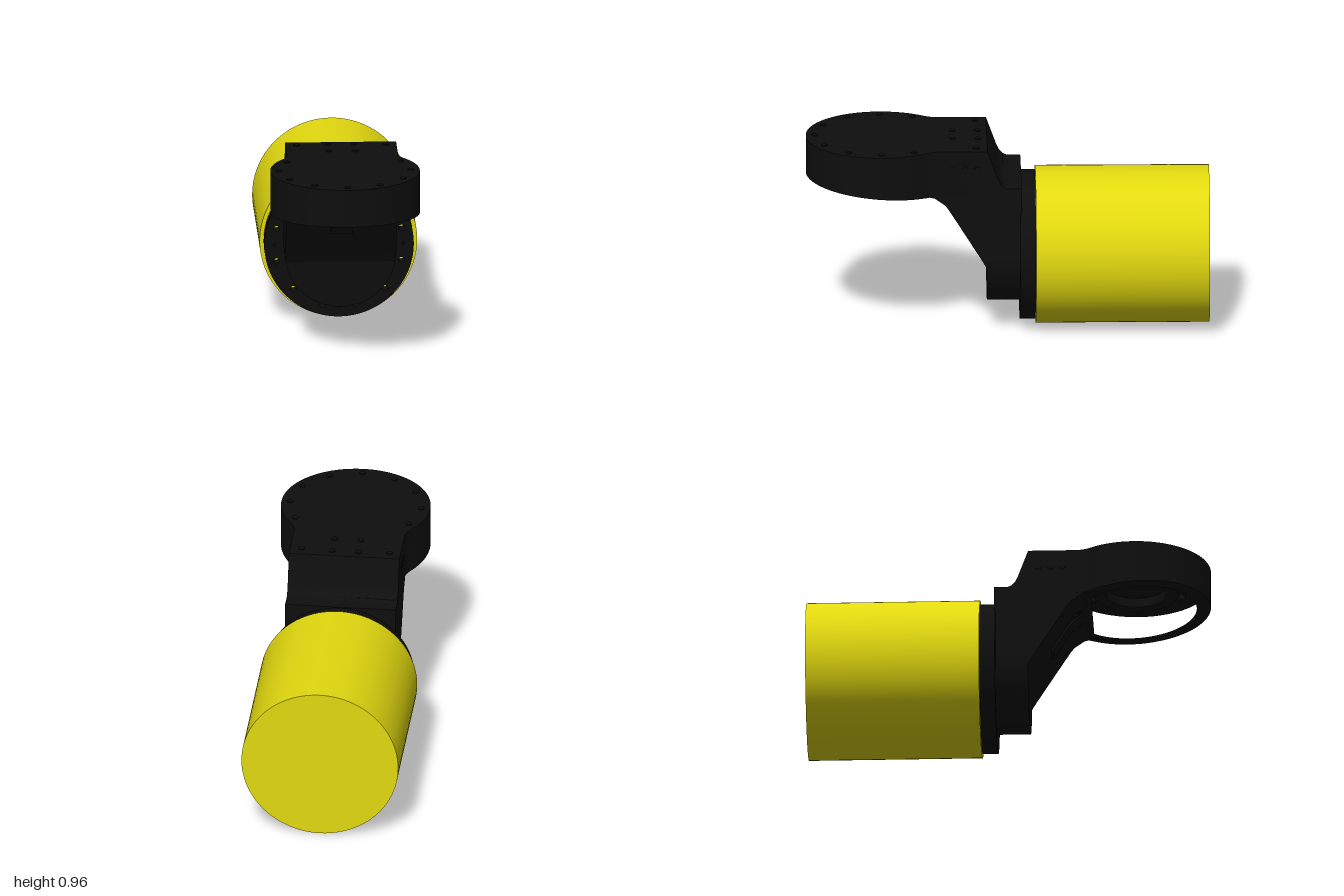
import * as THREE from 'three';
import { toCreasedNormals } from 'three/addons/utils/BufferGeometryUtils.js';

const AXIS_Y = 0.39;   // height of the motor axis
const HEAD_Z = 0.625;  // centre of the round head
const ARM_R = 0.275;   // half width of the arm

export function createModel() {
  const black = new THREE.MeshStandardMaterial({ color: 0x0e0e0e });
  black.name = 'blackCasting';
  const yellow = new THREE.MeshStandardMaterial({ color: 0xe2d90f });
  yellow.name = 'yellowHousing';

  const root = new THREE.Group();
  root.name = 'armLink';
  const add = (name, geo, mat = black, parent = root) => {
    const mesh = new THREE.Mesh(geo, mat);
    mesh.name = name;
    parent.add(mesh);
    return mesh;
  };
  const extrude = (shape, depth) =>
    new THREE.ExtrudeGeometry(shape, { depth, bevelEnabled: false, curveSegments: 48 });
  const circleHole = (x, y, r) => new THREE.Path().absarc(x, y, r, 0, Math.PI * 2, true);
  const move = (geo, rule) => {
    const p = geo.attributes.position;
    const v = new THREE.Vector3();
    for (let i = 0; i < p.count; i++) {
      rule(v.fromBufferAttribute(p, i));
      p.setXYZ(i, v.x, v.y, v.z);
    }
    return toCreasedNormals(geo, 0.5);
  };

  // Yellow motor housing
  const housing = new THREE.CylinderGeometry(0.39, 0.39, 0.86, 96);
  housing.rotateX(Math.PI / 2).translate(0, AXIS_Y, -0.57);
  add('motorHousing', housing, yellow);

  // Bolt holes on the flange circle: twelve large, four small
  const holes = [];
  for (let i = 0; i < 12; i++) {
    const a = (i + 0.5) * Math.PI / 6;
    holes.push([0.32 * Math.cos(a), AXIS_Y + 0.32 * Math.sin(a), 0.015]);
  }
  for (let i = 0; i < 4; i++) {
    const a = i * Math.PI / 2;
    holes.push([0.32 * Math.cos(a), AXIS_Y + 0.32 * Math.sin(a), 0.008]);
  }

  // Flange
  const disc = new THREE.Shape().absarc(0, AXIS_Y, 0.37, 0, Math.PI * 2);
  for (const h of holes) disc.holes.push(circleHole(...h));
  add('flange', toCreasedNormals(extrude(disc, 0.077).translate(0, 0, -0.139), 0.5));

  // Rounded lower end of the arm
  const a0 = Math.asin((0.345 - AXIS_Y) / ARM_R);
  const boss = new THREE.Shape().absarc(0, AXIS_Y, ARM_R, Math.PI - a0, Math.PI * 2 + a0);
  add('armBase', toCreasedNormals(extrude(boss, 0.17).translate(0, 0, -0.07), 0.5));

  // Arm rising in bands: [y, front z, back z]
  const arm = new THREE.Group();
  arm.name = 'arm';
  root.add(arm);
  const halfWidth = y => Math.sqrt(ARM_R ** 2 - Math.max(0, AXIS_Y - y) ** 2);
  const band = (name, lo, hi, w0, w1, lift = 0) => {
    const shape = new THREE.Shape([
      new THREE.Vector2(-w0, lo[0]), new THREE.Vector2(w0, lo[0]),
      new THREE.Vector2(w1, hi[0]), new THREE.Vector2(-w1, hi[0]),
    ]);
    for (const [x, y, r] of holes) {
      if (r > 0.01 && Math.abs(x) < w0 - r && y - r > lo[0] && y + r < hi[0]) {
        shape.holes.push(circleHole(x, y, r));
      }
    }
    const geo = move(extrude(shape, 1), v => {
      const t = (v.y - lo[0]) / (hi[0] - lo[0]);
      const k = v.z > 0.5 ? 1 : 2;
      v.z = lo[k] + (hi[k] - lo[k]) * t + (k === 1 ? lift : 0);
    });
    add(name, geo, black, arm);
  };
  const lower = [
    [0.345, 0.10, -0.07], [0.385, 0.122, -0.07], [0.58, 0.243, -0.07], [0.66, 0.293, -0.07],
    [0.683, 0.312, -0.07], [0.717, 0.36, -0.07], [0.73, 0.41, -0.07], [0.765, 0.32, -0.07],
  ];
  const upper = [
    [0.765, 0.3, 0.0], [0.773, 0.3, 0.018], [0.79, 0.3, 0.034], [0.815, 0.3, 0.047],
    [0.96, 0.11, 0.1],
  ];
  for (const rows of [lower, upper]) {
    for (let i = 1; i < rows.length; i++) {
      const [lo, hi] = [rows[i - 1], rows[i]];
      band('armBand', lo, hi, halfWidth(lo[0]), halfWidth(hi[0]));
    }
  }
  // Raised rib on the sloping front
  band('frontRib', [0.52, 0.206, 0.1], [0.66, 0.293, 0.1], 0.055, 0.05, 0.012);
  band('frontRib', [0.66, 0.293, 0.1], [0.73, 0.37, 0.1], 0.05, 0.05, 0.012);

  // Head outline in plan: straight neck flaring into a disc
  const headOutline = () => {
    const s = new THREE.Shape();
    s.moveTo(-ARM_R, 0.1);
    s.lineTo(-ARM_R, 0.33);
    s.quadraticCurveTo(-ARM_R, 0.37, -0.30, 0.408);
    s.absarc(0, HEAD_Z, 0.37, 3.768, -0.626, true);
    s.quadraticCurveTo(ARM_R, 0.37, ARM_R, 0.33);
    s.lineTo(ARM_R, 0.1);
    s.closePath();
    return s;
  };
  const head = new THREE.Group();
  head.name = 'head';
  root.add(head);
  const lid = extrude(headOutline(), 0.07).rotateX(Math.PI / 2).translate(0, 0.96, 0);
  add('headTop', toCreasedNormals(lid, 0.5), black, head);

  // Head wall around an open recess, with a tilted lower rim
  const wallShape = headOutline();
  wallShape.holes.push(circleHole(0, HEAD_Z, 0.3));
  const wall = extrude(wallShape, 0.16).rotateX(Math.PI / 2).translate(0, 0.89, 0);
  add('headWall', move(wall, v => {
    if (v.y < 0.8) v.y = 0.727 + Math.max(0, v.z - 0.4) * 0.072;
  }), black, head);

  // Ring and bolts inside the recess
  const ring = new THREE.Shape().absarc(0, HEAD_Z, 0.21, 0, Math.PI * 2);
  ring.holes.push(circleHole(0, HEAD_Z, 0.15));
  const ringGeo = extrude(ring, 0.05).rotateX(Math.PI / 2).translate(0, 0.892, 0);
  add('recessRing', toCreasedNormals(ringGeo, 0.5), black, head);

  // Bolt heads on the top rim, in the recess and on the neck
  const bolt = (name, x, y, z, r, h) =>
    add(name, new THREE.CylinderGeometry(r, r, h, 16), black, head).position.set(x, y, z);
  for (let i = 0; i < 12; i++) {
    const a = i * Math.PI / 6;
    const [c, s] = [Math.cos(a), Math.sin(a)];
    if (s > -0.6) bolt('rimBolt', 0.325 * c, 0.96, HEAD_Z + 0.325 * s, 0.016, 0.01);
    bolt('recessBolt', 0.255 * c, 0.88, HEAD_Z + 0.255 * s, 0.018, 0.04);
  }
  for (const side of [-1, 1]) {
    for (const [x, z] of [[0.065, 0.145], [0.065, 0.27], [0.22, 0.155]]) {
      bolt('neckBolt', side * x, 0.96, z, 0.016, 0.01);
    }
    for (const z of [0.15, 0.21, 0.27]) {
      const pin = new THREE.CylinderGeometry(0.014, 0.014, 0.01, 16).rotateZ(Math.PI / 2);
      add('sideBolt', pin, black, head).position.set(side * ARM_R, 0.87, z);
    }
  }
  return root;
}
